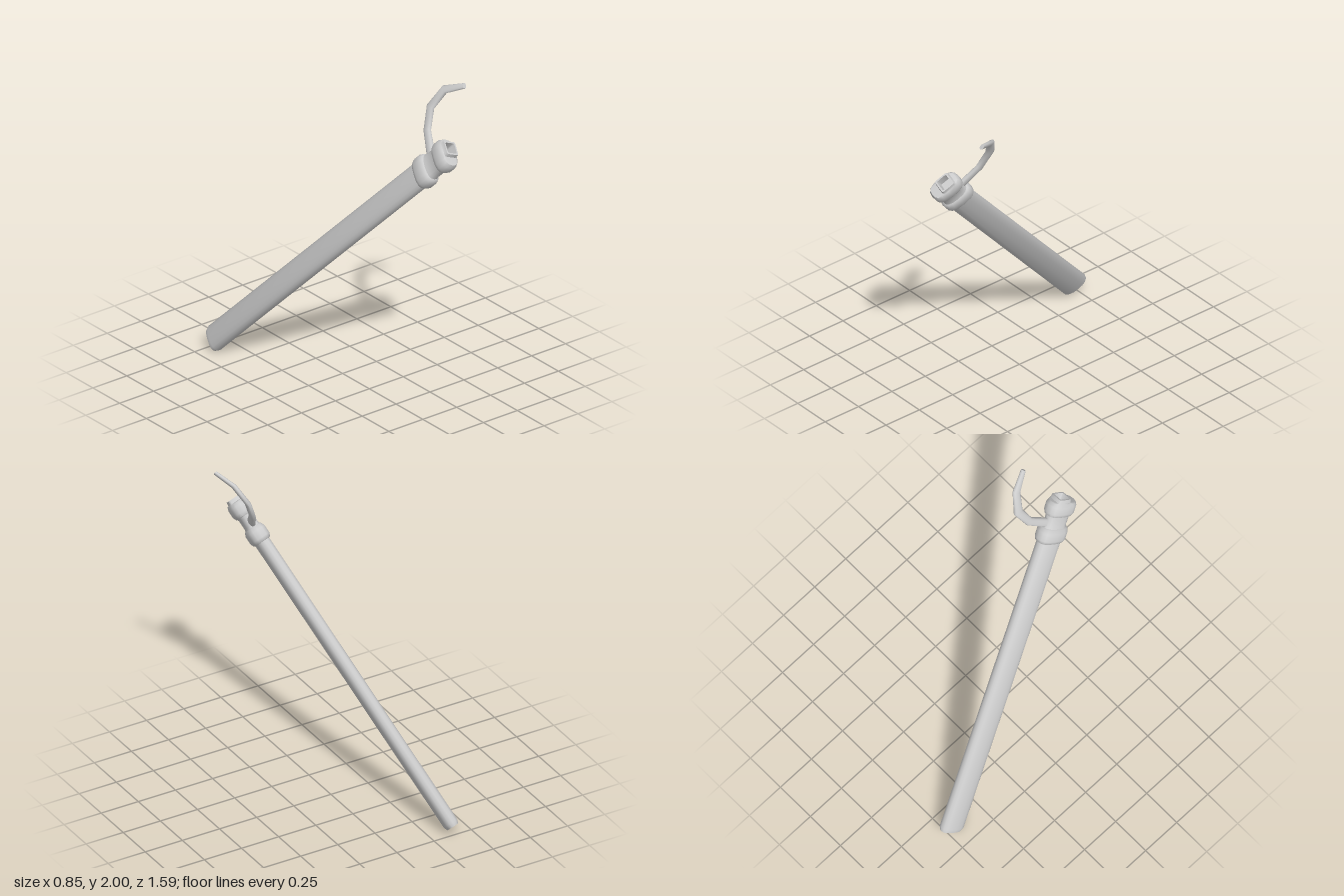
import * as THREE from 'three';
import { toCreasedNormals } from 'three/addons/utils/BufferGeometryUtils.js';

const SIDES = 16;
const material = new THREE.MeshStandardMaterial({ color: 0xcccccc, side: THREE.DoubleSide });

// Skin over superellipse rings: { p: centre, t: axis direction, a, b: half sizes, e: squareness }
function loft(name, rings, crease) {
  const pos = [], index = [];
  const Z = new THREE.Vector3(0, 0, 1);
  const power = (v, e) => Math.sign(v) * Math.pow(Math.abs(v), 2 / e);
  rings.forEach(({ p, t, a, b, e }, i) => {
    const X = t.clone().cross(Z).normalize();
    for (let j = 0; j < SIDES; j++) {
      const ang = (j / SIDES) * Math.PI * 2;
      const v = p.clone()
        .addScaledVector(X, a * power(Math.cos(ang), e))
        .addScaledVector(Z, b * power(Math.sin(ang), e));
      pos.push(v.x, v.y, v.z);
      if (i === rings.length - 1) continue;
      const k = (j + 1) % SIDES, r = i * SIDES, s = r + SIDES;
      index.push(r + j, s + j, r + k, r + k, s + j, s + k);
    }
  });
  const geo = new THREE.BufferGeometry();
  geo.setAttribute('position', new THREE.Float32BufferAttribute(pos, 3));
  geo.setIndex(index);
  const mesh = new THREE.Mesh(toCreasedNormals(geo, crease), material);
  mesh.name = name;
  return mesh;
}

// Straight part along the sheath axis; rows are [height, half width, half thickness, squareness, offset]
function straight(name, rows, crease = 0.75) {
  const up = new THREE.Vector3(0, 1, 0);
  return loft(name, rows.map(([y, a, b, e, off = 0]) =>
    ({ p: new THREE.Vector3(off, y, 0), t: up, a, b, e })), crease);
}

export function createModel() {
  const model = new THREE.Group();
  model.name = 'sheath';

  // Sheath frame: y runs along the axis, x across the wide side
  const axis = new THREE.Vector3(0.261, 0.714, 0.65).normalize();
  const thin = new THREE.Vector3(0.285, 0.59, -0.756).cross(axis).normalize();
  const wide = axis.clone().cross(thin);
  const body = new THREE.Group();
  body.name = 'tiltedSheath';
  body.quaternion.setFromRotationMatrix(new THREE.Matrix4().makeBasis(wide, axis, thin));
  body.position.set(-0.385, 0.06, -0.735);
  model.add(body);

  // Long flattened tube with a bevelled closed end
  body.add(straight('scabbard', [
    [0, 0.001, 0.001, 2.5], [0, 0.073, 0.034, 2.5], [0.025, 0.083, 0.043, 2.5],
    [2.0, 0.083, 0.044, 2.5],
  ]));

  // Rounded lower band
  body.add(straight('lowerCollar', [
    [1.985, 0.075, 0.04, 2.8], [1.988, 0.09, 0.052, 2.8], [2.01, 0.099, 0.061, 2.8],
    [2.06, 0.099, 0.061, 2.8], [2.083, 0.09, 0.052, 2.8], [2.09, 0.078, 0.04, 2.8],
  ], 1.1));

  // Waisted neck between the bands
  body.add(straight('neck', [
    [2.075, 0.086, 0.05, 2.6], [2.1, 0.079, 0.042, 2.6],
    [2.155, 0.079, 0.042, 2.6], [2.185, 0.086, 0.05, 2.6],
  ], 1.1));

  // Upper band with a raised rectangular mouth and its recess
  body.add(straight('mouthCollar', [
    [2.168, 0.076, 0.04, 2.8], [2.172, 0.088, 0.052, 2.8], [2.195, 0.097, 0.061, 2.8],
    [2.24, 0.097, 0.061, 2.8], [2.262, 0.086, 0.053, 2.8],
    [2.266, 0.05, 0.046, 7, 0.015], [2.288, 0.044, 0.043, 9, 0.015],
    [2.288, 0.034, 0.034, 9, 0.015], [2.225, 0.03, 0.03, 9, 0.015],
    [2.225, 0.001, 0.001, 9, 0.015],
  ], 0.9));

  // Curved flat hook growing from the neck
  const path = [
    [0.06, 2.115, 0], [0.215, 2.142, 0], [0.328, 2.219, 0], [0.375, 2.348, 0.02], [0.335, 2.47, 0.06],
  ].map((p) => new THREE.Vector3(...p));
  const sizes = [[0.03, 0.018], [0.027, 0.016], [0.03, 0.016], [0.027, 0.015], [0.017, 0.012]];
  const rings = path.map((p, i) => ({
    p,
    t: path[Math.min(i + 1, 4)].clone().sub(path[Math.max(i - 1, 0)]).normalize(),
    a: sizes[i][0], b: sizes[i][1], e: 2.3,
  }));
  rings.push({ ...rings[4], a: 0.001, b: 0.001 });
  body.add(loft('hook', rings, 1.0));

  return model;
}
